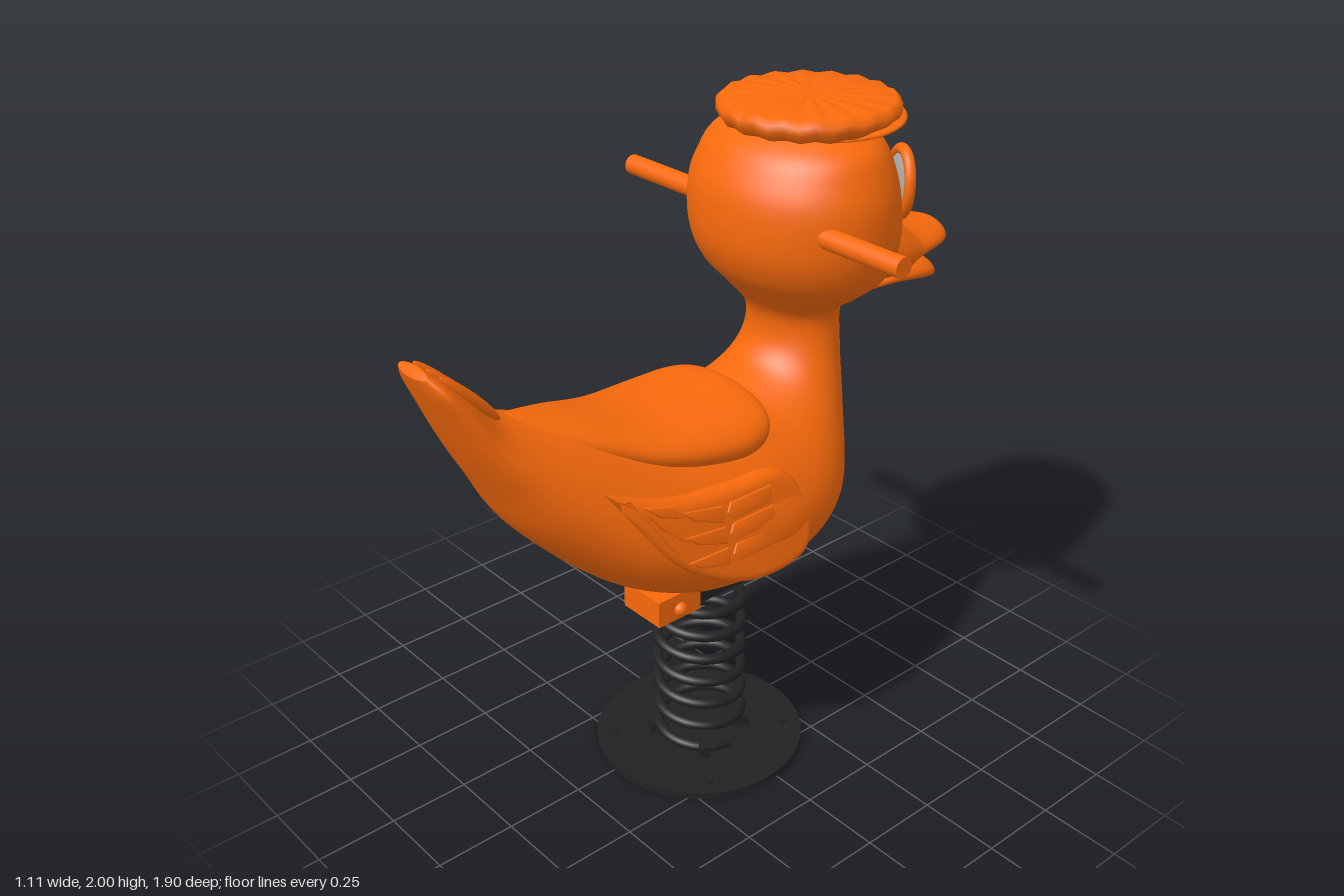
import * as THREE from 'three';
import { toCreasedNormals } from 'three/addons/utils/BufferGeometryUtils.js';

const paint = (color) => new THREE.MeshStandardMaterial({ color });
const orange = paint(0xf96a0c), black = paint(0x222222), white = paint(0xaaaaaa), pupilBlack = paint(0x080808);

function add(parent, name, geometry, material, x = 0, y = 0, z = 0) {
  const mesh = new THREE.Mesh(geometry, material);
  mesh.name = name;
  mesh.position.set(x, y, z);
  parent.add(mesh);
  return mesh;
}

// Smooth skin over rings [zLow, yLow, zHigh, yHigh, halfWidth, lowBulge], listed towards -z
function loft(rings, sub = 6, sides = 48) {
  const pos = [], index = [], fine = [];
  const at = (i) => rings[Math.max(0, Math.min(rings.length - 1, i))];
  for (let i = 0; i < rings.length - 1; i++)
    for (let s = 0; s < sub; s++) {
      const t = s / sub;
      fine.push(at(i).map((b, c) => {
        const a = at(i - 1)[c], d = at(i + 1)[c], e = at(i + 2)[c];
        return b + 0.5 * t * (d - a + t * (2 * a - 5 * b + 4 * d - e + t * (3 * (b - d) + e - a)));
      }));
    }
  fine.push(at(rings.length - 1));
  for (const [za, ya, zb, yb, w, k] of fine)
    for (let j = 0; j < sides; j++) {
      const c = Math.cos(j / sides * 2 * Math.PI), s = Math.sin(j / sides * 2 * Math.PI);
      pos.push(w * s * (1 - k * c), (ya + yb) / 2 + (yb - ya) / 2 * c, (za + zb) / 2 + (zb - za) / 2 * c);
    }
  const n = fine.length, first = fine[0], last = fine[n - 1];
  for (const r of [first, last]) pos.push(0, (r[1] + r[3]) / 2, (r[0] + r[2]) / 2);
  for (let j = 0; j < sides; j++) {
    const j2 = (j + 1) % sides;
    for (let i = 0; i < n - 1; i++) {
      const a = i * sides + j, b = i * sides + j2;
      index.push(a, b, a + sides, b, b + sides, a + sides);
    }
    index.push(n * sides, j2, j, n * sides + 1, (n - 1) * sides + j, (n - 1) * sides + j2);
  }
  const g = new THREE.BufferGeometry();
  g.setAttribute('position', new THREE.Float32BufferAttribute(pos, 3));
  g.setIndex(index);
  g.computeVertexNormals();
  return g;
}

// Side-view outline (z, y) extruded outwards and leaned onto the flank
function flankPanel(points, offset, depth, bevel, smooth) {
  let pts = points.map(([z, y]) => new THREE.Vector2(z, y));
  if (smooth) pts = new THREE.SplineCurve([...pts, pts[0]]).getPoints(60).slice(0, -1);
  const g = new THREE.ExtrudeGeometry(new THREE.Shape(pts), {
    depth, bevelSize: bevel, bevelThickness: bevel, bevelOffset: -bevel, bevelSegments: 4,
  });
  const p = g.attributes.position;
  for (let i = 0; i < p.count; i++) {
    const z = p.getX(i), y = p.getY(i), out = p.getZ(i);
    p.setXYZ(i, -(offset - 0.22 * (y - 0.76) + out), y, z);
  }
  g.computeVertexNormals();
  return toCreasedNormals(g, 0.6);
}

export function createModel() {
  const model = new THREE.Group();
  model.name = 'springRider';

  // Tail, body, neck and head in one skin
  add(model, 'body', loft([
    [0.95, 1.55, 0.925, 1.57, 0.06, 0], [0.93, 1.5, 0.885, 1.535, 0.105, 0],
    [0.9, 1.43, 0.825, 1.475, 0.125, 0], [0.84, 1.3, 0.74, 1.385, 0.15, 0.05],
    [0.77, 1.17, 0.64, 1.335, 0.185, 0.1], [0.67, 1.0, 0.5, 1.29, 0.235, 0.15],
    [0.455, 0.785, 0.36, 1.25, 0.295, 0.22], [0.27, 0.68, 0.22, 1.225, 0.325, 0.25],
    [0.1, 0.64, 0.08, 1.22, 0.34, 0.25], [-0.12, 0.643, -0.02, 1.22, 0.34, 0.25],
    [-0.31, 0.705, -0.07, 1.21, 0.315, 0.22], [-0.42, 0.82, -0.11, 1.21, 0.275, 0.15],
    [-0.47, 1.05, -0.19, 1.24, 0.205, 0.05], [-0.485, 1.25, -0.23, 1.3, 0.16, 0],
    [-0.49, 1.39, -0.225, 1.385, 0.155, 0], [-0.53, 1.44, -0.165, 1.465, 0.235, 0],
    [-0.6, 1.5, -0.11, 1.53, 0.3, 0], [-0.63, 1.6, -0.075, 1.62, 0.333, 0],
    [-0.62, 1.72, -0.075, 1.74, 0.335, 0], [-0.6, 1.82, -0.1, 1.82, 0.31, 0],
    [-0.56, 1.9, -0.15, 1.89, 0.265, 0], [-0.5, 1.95, -0.25, 1.95, 0.15, 0],
  ]), orange);

  // Raised seat pad
  add(model, 'seat', loft([
    [0.7, 1.3, 0.7, 1.345, 0.02, 0], [0.66, 1.25, 0.66, 1.345, 0.07, 0], [0.5, 1.18, 0.5, 1.305, 0.14, 0],
    [0.3, 1.08, 0.3, 1.25, 0.21, 0], [0.1, 1.03, 0.1, 1.235, 0.25, 0], [-0.02, 1.03, -0.02, 1.235, 0.245, 0],
    [-0.08, 1.08, -0.08, 1.225, 0.2, 0], [-0.1, 1.14, -0.1, 1.2, 0.1, 0],
  ]), orange);

  // Tail feather ridges
  for (const side of [-1, 0, 1]) {
    const ridge = add(model, 'tailRidge', new THREE.SphereGeometry(1, 20, 12), orange, side * 0.06, 1.465, 0.815);
    ridge.scale.set(0.022, 0.018, 0.12);
    ridge.rotation.x = -0.8;
  }

  // Beak
  add(model, 'upperBeak', loft([
    [-0.5, 1.42, -0.5, 1.7, 0.25, 0.1], [-0.6, 1.42, -0.6, 1.655, 0.235, 0.2], [-0.67, 1.44, -0.67, 1.6, 0.208, 0.2],
    [-0.735, 1.45, -0.735, 1.55, 0.182, 0.15], [-0.84, 1.44, -0.84, 1.525, 0.145, 0], [-0.91, 1.432, -0.91, 1.515, 0.105, 0],
    [-0.94, 1.44, -0.94, 1.505, 0.065, 0], [-0.953, 1.465, -0.953, 1.485, 0.025, 0],
  ]), orange);
  add(model, 'lowerBeak', loft([
    [-0.45, 1.4, -0.45, 1.48, 0.18, 0], [-0.6, 1.4, -0.6, 1.47, 0.19, 0], [-0.76, 1.36, -0.76, 1.435, 0.15, 0],
    [-0.85, 1.335, -0.85, 1.41, 0.115, 0], [-0.9, 1.322, -0.9, 1.388, 0.075, 0], [-0.92, 1.345, -0.92, 1.365, 0.025, 0],
  ]), orange);

  // Cap: gathered crown over a soft peak
  const crown = new THREE.LatheGeometry([
    [0.2, -0.08], [0.245, -0.065], [0.262, -0.04], [0.262, -0.02], [0.245, -0.004], [0.15, 0.002], [0, 0.004],
  ].map(([r, y]) => new THREE.Vector2(r, y)), 72);
  const cp = crown.attributes.position;
  for (let i = 0; i < cp.count; i++) {
    const x = cp.getX(i), z = cp.getZ(i), r = Math.hypot(x, z);
    cp.setY(i, cp.getY(i) + 0.004 * (r / 0.26) * Math.cos(18 * Math.atan2(z, x)));
  }
  crown.computeVertexNormals();
  add(model, 'capCrown', crown, orange, 0, 1.993, -0.4);
  const peak = add(model, 'capPeak', new THREE.SphereGeometry(1, 48, 16), orange, 0, 1.935, -0.44);
  peak.scale.set(0.275, 0.025, 0.215);
  peak.rotation.x = 0.08;

  // Mirrored parts
  for (const side of [-1, 1]) {
    const half = new THREE.Group();
    half.name = side < 0 ? 'rightSide' : 'leftSide';
    half.scale.x = -side;
    model.add(half);

    // Hand grip
    add(half, 'handle', new THREE.CylinderGeometry(0.03, 0.03, 0.285, 24), orange, -0.413, 1.69, -0.21).rotation.z = Math.PI / 2;

    // Eye with rim
    const eye = new THREE.Group();
    eye.name = 'eye';
    eye.position.set(-0.195, 1.745, -0.583);
    eye.rotation.set(0.04, Math.PI + 0.48, 0, 'YXZ');
    eye.scale.set(0.8, 1, 1);
    half.add(eye);
    add(eye, 'eyeRim', new THREE.TorusGeometry(0.095, 0.017, 12, 40), orange);
    add(eye, 'eyeWhite', new THREE.SphereGeometry(0.092, 32, 16), white).scale.z = 0.25;
    add(eye, 'pupil', new THREE.SphereGeometry(0.045, 24, 16), pupilBlack, -0.012, -0.022, 0.014).scale.set(0.9, 1.1, 0.35);

    // Wing with relief feathers
    add(half, 'wing', flankPanel([
      [0.54, 1.16], [0.35, 1.09], [0.16, 1.065], [-0.02, 1.055], [-0.105, 0.98], [-0.13, 0.875],
      [-0.08, 0.78], [0.085, 0.765], [0.245, 0.82], [0.385, 0.93],
    ], 0.285, 0.06, 0.028, true), orange);
    for (let row = 0; row < 3; row++) {
      const y = 0.86 + row * 0.06, rise = 0.035 + 0.012 * row;
      const feathers = [
        [[0.02, y], [0.17, y], [0.185, y + 0.025], [0.17, y + 0.05], [0.02, y + 0.05]],
        [[0.2, y], [0.3, y + rise * 0.7], [0.34, y + rise + 0.02], [0.2, y + 0.05]],
        [[0.33, y + rise], [0.41, 1.0 + row * 0.035], [0.46, 1.09 + row * 0.012], [0.36, y + rise + 0.045]],
      ];
      for (const f of feathers) add(half, 'wingFeather', flankPanel(f, 0.365, 0.008, 0.005, false), orange);
    }
  }

  // Clamp between body and spring
  const cx = 0.03, cz = 0.035;
  add(model, 'mountBlock', new THREE.BoxGeometry(0.17, 0.075, 0.36), black, cx, 0.605, -0.03);
  add(model, 'rearClamp', new THREE.BoxGeometry(0.16, 0.085, 0.16), orange, 0.06, 0.615, 0.205);
  add(model, 'frontClamp', new THREE.BoxGeometry(0.16, 0.085, 0.05), orange, 0.02, 0.615, -0.21);
  for (const [x, z] of [[-0.07, -0.16], [0.135, -0.16], [-0.025, 0.205], [0.14, 0.205]])
    add(model, 'clampBolt', new THREE.SphereGeometry(0.022, 16, 12), orange, x, 0.605, z);

  // Coil spring
  class Helix extends THREE.Curve {
    getPoint(t, target = new THREE.Vector3()) {
      const a = t * 6.25 * 2 * Math.PI;
      return target.set(0.13 * Math.cos(a), 0.035 + 0.52 * t, 0.13 * Math.sin(a));
    }
  }
  add(model, 'spring', new THREE.TubeGeometry(new Helix(), 300, 0.017, 10), black, cx, 0, cz);

  // Ground plate with spring clips and rim bolts
  add(model, 'basePlate', new THREE.CylinderGeometry(0.325, 0.325, 0.02, 64), black, cx, 0.01, cz);
  for (let i = 0; i < 4; i++) {
    const a = i * Math.PI / 2 + 0.6, c = Math.cos(a), s = Math.sin(a);
    add(model, 'springClip', new THREE.BoxGeometry(0.06, 0.045, 0.035), black, cx + 0.13 * c, 0.038, cz + 0.13 * s).rotation.y = -a;
    add(model, 'plateBolt', new THREE.CylinderGeometry(0.014, 0.014, 0.008, 6), black, cx + 0.27 * c, 0.023, cz + 0.27 * s);
  }
  return model;
}
